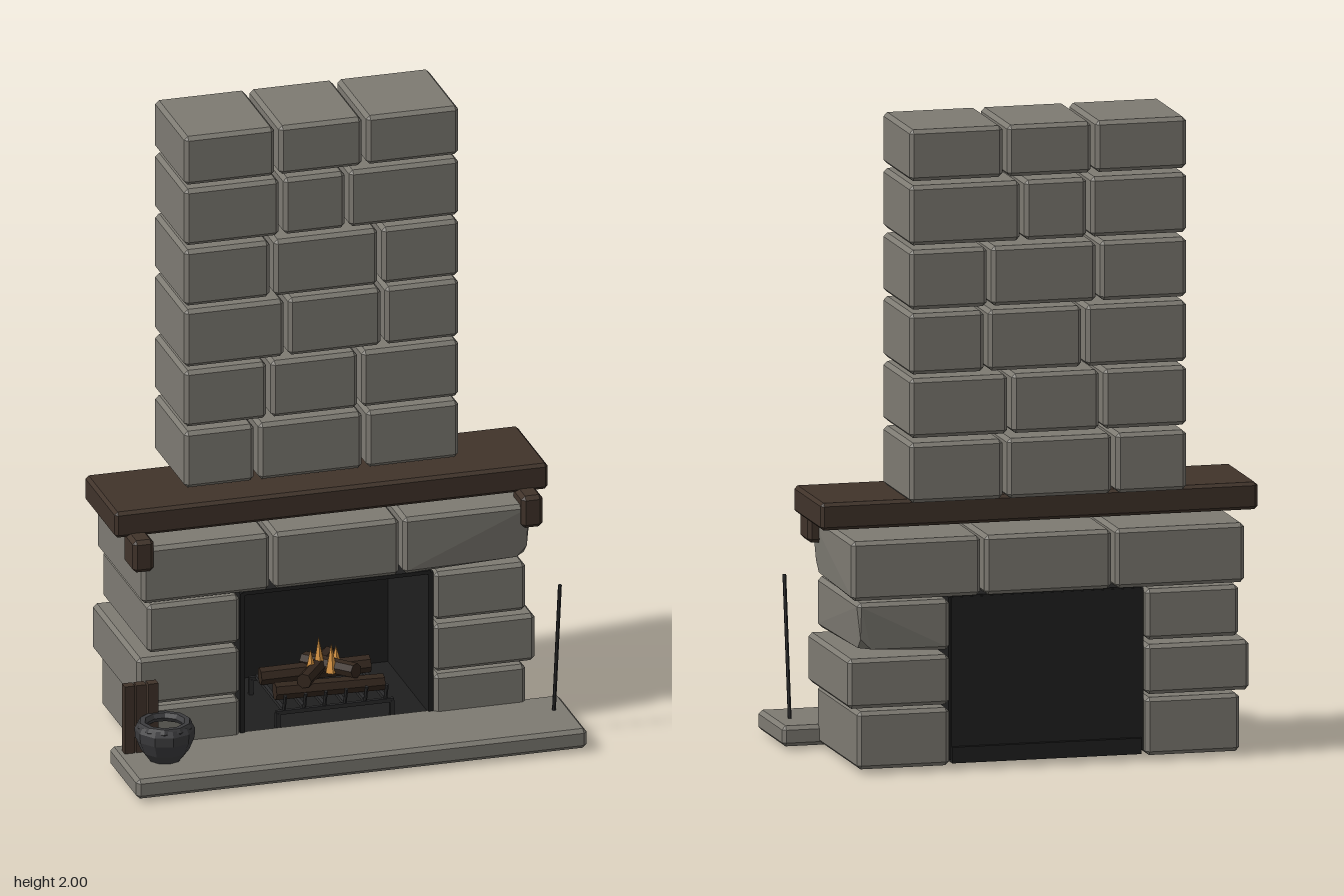
import * as THREE from 'three';
import { ConvexGeometry } from 'three/addons/geometries/ConvexGeometry.js';

const mat = (color, extra = {}) =>
  new THREE.MeshStandardMaterial({ color, flatShading: true, ...extra });

const STONE = mat(0x7d7a72), WOOD = mat(0x40332a), SOOT = mat(0x1f1f1f);
const IRON = mat(0x2a2a2b), POT = mat(0x3c3c3e), LOG = mat(0x33261d), FLAME = mat(0xe09a45);

export function createModel() {
  const root = new THREE.Group();

  const add = (name, geometry, material, parent = root) => {
    const mesh = new THREE.Mesh(geometry, material);
    mesh.name = name;
    parent.add(mesh);
    return mesh;
  };
  const group = (name) => {
    const g = new THREE.Group();
    g.name = name;
    root.add(g);
    return g;
  };

  // Box between two corners with chamfered edges; chip = [sx, sy, sz] cuts one corner deeper
  const block = (name, [x0, x1], [y0, y1], [z0, z1], c, material, parent, chip) => {
    const half = [(x1 - x0) / 2, (y1 - y0) / 2, (z1 - z0) / 2];
    const points = [];
    for (const sx of [-1, 1]) for (const sy of [-1, 1]) for (const sz of [-1, 1]) {
      const s = [sx, sy, sz];
      const chipped = chip && chip.every((v, i) => v === s[i]);
      for (let axis = 0; axis < 3; axis++) {
        if (chipped) {
          // each cut point slides back along one edge
          const p = s.map((v, i) => v * (half[i] - (i === axis ? 0.045 : c)));
          points.push(new THREE.Vector3(...p));
        } else {
          const p = s.map((v, i) => v * (half[i] - (i === axis ? 0 : c)));
          points.push(new THREE.Vector3(...p));
        }
      }
    }
    const mesh = add(name, new ConvexGeometry(points), material, parent);
    mesh.position.set((x0 + x1) / 2, (y0 + y1) / 2, (z0 + z1) / 2);
    return mesh;
  };

  const box = (name, [x0, x1], [y0, y1], [z0, z1], material, parent) => {
    const mesh = add(name, new THREE.BoxGeometry(x1 - x0, y1 - y0, z1 - z0), material, parent);
    mesh.position.set((x0 + x1) / 2, (y0 + y1) / 2, (z0 + z1) / 2);
    return mesh;
  };

  // Straight rod between two points
  const rod = (name, a, b, r0, r1, sides, material, parent) => {
    const from = new THREE.Vector3(...a), to = new THREE.Vector3(...b);
    const dir = to.clone().sub(from);
    const mesh = add(name, new THREE.CylinderGeometry(r1, r0, dir.length(), sides), material, parent);
    mesh.position.copy(from).add(to).multiplyScalar(0.5);
    mesh.quaternion.setFromUnitVectors(new THREE.Vector3(0, 1, 0), dir.normalize());
    return mesh;
  };

  // Chimney: six courses of three stones with staggered joints
  const chimney = group('chimney');
  const joints = [[-0.21, 0.135], [-0.17, 0.12], [-0.115, 0.195], [-0.16, 0.185], [-0.13, 0.08], [-0.145, 0.135]];
  const bottoms = [0.838, 1.04, 1.238, 1.44, 1.64, 1.84];
  const tops = [1.024, 1.225, 1.427, 1.625, 1.826, 2.0];
  joints.forEach(([a, b], i) => {
    const g = 0.007, edges = [[-0.44, a - g], [a + g, b - g], [b + g, 0.437]];
    for (const x of edges) block('chimneyStone', x, [bottoms[i], tops[i]], [-0.378, -0.05], 0.012, STONE, chimney);
  });

  // Surround: lintel course over two stepped piers
  const surround = group('surround');
  const depth = [-0.373, 0.11];
  block('lintelStone', [-0.625, -0.216], [0.54, 0.725], depth, 0.012, STONE, surround);
  block('lintelStone', [-0.203, 0.198], [0.54, 0.725], depth, 0.012, STONE, surround);
  block('lintelStone', [0.211, 0.62], [0.54, 0.725], depth, 0.012, STONE, surround, [1, -1, 1]);
  const piers = [
    [[0.015, 0.195], 0.61, 0.602],
    [[0.205, 0.36], 0.64, 0.632],
    [[0.375, 0.533], 0.607, 0.602],
  ];
  piers.forEach(([y, left, right], i) => {
    block('pierStone', [-left, -0.312], y, depth, 0.012, STONE, surround);
    block('pierStone', [0.31, right], y, depth, 0.012, STONE, surround, i === 2 ? [1, -1, -1] : null);
  });

  // Hearth slab, mantel shelf and its brackets
  block('hearth', [-0.722, 0.718], [0.01, 0.074], [0.08, 0.378], 0.012, STONE);
  block('mantel', [-0.695, 0.69], [0.745, 0.83], [-0.27, 0.057], 0.01, WOOD);
  for (const x of [-0.624, 0.619])
    block('mantelBracket', [x - 0.034, x + 0.034], [0.652, 0.757], [0.02, 0.127], 0.012, WOOD);

  // Firebox lining
  const firebox = group('firebox');
  box('fireboxFloor', [-0.3, 0.3], [0.02, 0.07], [-0.365, 0.09], SOOT, firebox);
  box('fireboxBack', [-0.3, 0.3], [0.07, 0.535], [-0.352, -0.33], SOOT, firebox);
  box('fireboxTop', [-0.3, 0.3], [0.528, 0.54], [-0.35, 0.1], SOOT, firebox);
  for (const s of [-1, 1])
    box('fireboxSide', s < 0 ? [-0.309, -0.293] : [0.293, 0.309], [0.03, 0.535], [-0.35, 0.1], SOOT, firebox);

  // Fire grate: cross rails on legs, bars with upturned tips
  const grate = group('grate');
  for (const z of [0.085, -0.2]) {
    box('grateRail', [-0.19, 0.185], [0.115, 0.128], [z - 0.006, z + 0.006], IRON, grate);
    for (const x of [-0.185, 0.18])
      box('grateLeg', [x - 0.007, x + 0.007], [0, 0.12], [z - 0.007, z + 0.007], IRON, grate);
  }
  for (let i = 0; i < 6; i++) {
    const x = -0.165 + i * 0.065;
    box('grateBar', [x - 0.006, x + 0.006], [0.122, 0.134], [-0.2, 0.085], IRON, grate);
    rod('grateTip', [x, 0.125, 0.083], [x, 0.18, 0.1], 0.006, 0.006, 5, IRON, grate);
  }

  // Logs and flames
  const fire = group('fire');
  rod('log', [-0.175, 0.165, 0.02], [0.17, 0.16, 0.03], 0.028, 0.026, 7, LOG, fire);
  rod('log', [-0.18, 0.16, -0.12], [0.165, 0.17, -0.1], 0.028, 0.028, 7, LOG, fire);
  rod('log', [-0.09, 0.2, 0.05], [0.05, 0.195, -0.15], 0.024, 0.026, 7, LOG, fire);
  rod('log', [0.08, 0.21, 0.04], [-0.03, 0.19, -0.14], 0.024, 0.026, 7, LOG, fire);
  const flames = [[-0.045, 0.27, -0.03], [-0.01, 0.295, -0.06], [0.018, 0.285, -0.02], [0.045, 0.26, -0.06], [0, 0.27, -0.09]];
  for (const [x, top, z] of flames) {
    const flame = add('flame', new THREE.ConeGeometry(0.02, top - 0.19, 5), FLAME, fire);
    flame.position.set(x, (top + 0.19) / 2, z);
  }

  // Pot
  const pot = group('pot');
  pot.position.set(-0.588, 0.075, 0.226);
  const profile = [[0.052, 0], [0.075, 0.03], [0.091, 0.07], [0.093, 0.1], [0.083, 0.118]]
    .map(([r, y]) => new THREE.Vector2(r, y));
  add('potBody', new THREE.LatheGeometry(profile, 10), POT, pot);
  const rim = add('potRim', new THREE.TorusGeometry(0.071, 0.016, 6, 10), POT, pot);
  rim.rotation.x = Math.PI / 2;
  rim.position.y = 0.11;

  // Kindling sticks standing behind the pot
  for (const x of [-0.68, -0.643, -0.604])
    box('kindling', [x - 0.016, x + 0.016], [0.074, 0.296], [0.129, 0.16], WOOD);

  // Leaning poker
  rod('poker', [0.664, 0.075, 0.2], [0.664, 0.513, 0.263], 0.006, 0.006, 6, IRON);

  return root;
}
